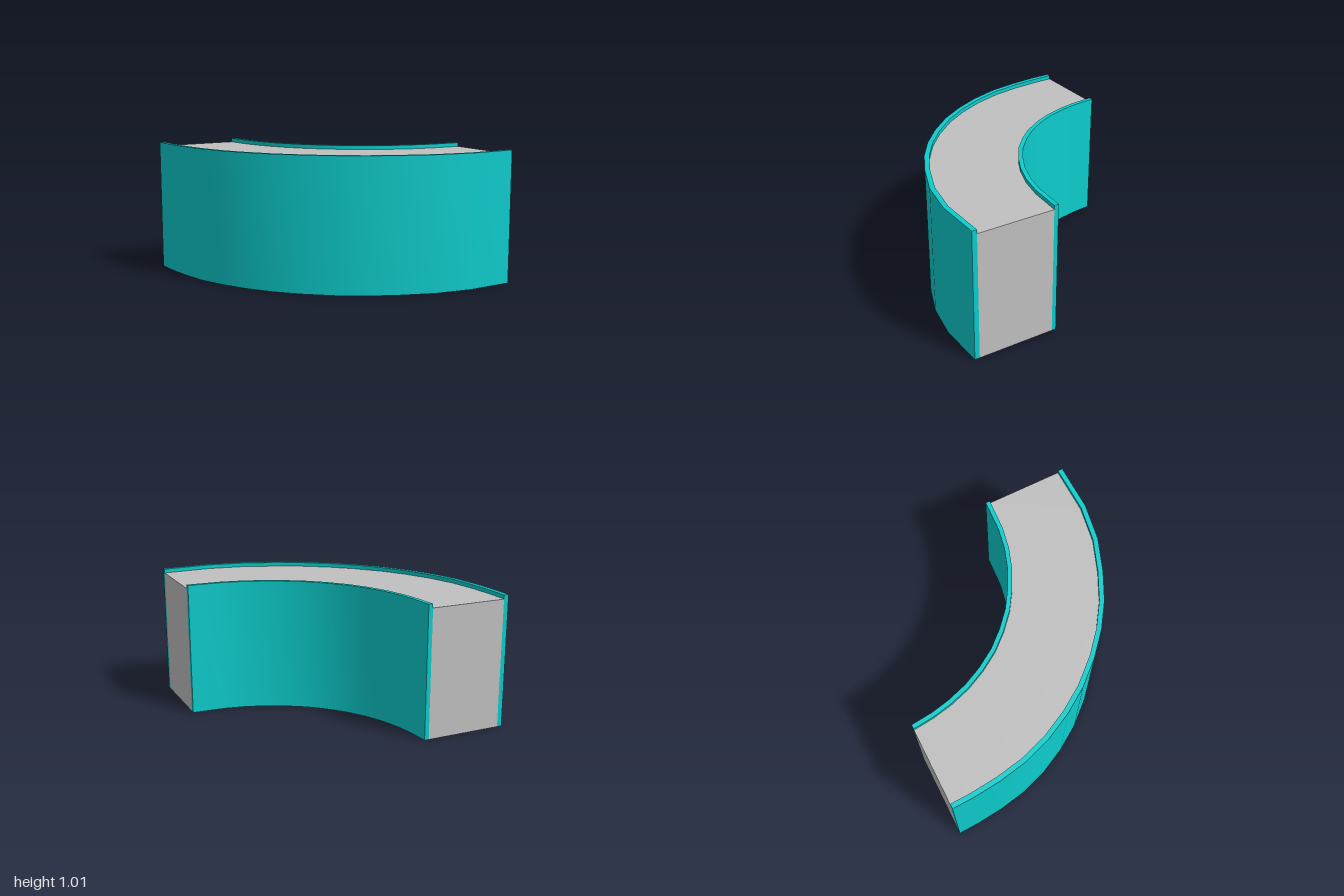
import * as THREE from 'three';
import { toCreasedNormals } from 'three/addons/utils/BufferGeometryUtils.js';

const HEIGHT = 1.01, CORE_HEIGHT = 0.98;

// Plan curves as [x, z], running from the back end to the left end
const outerCurve = [
  [-1, -0.955], [-0.995, -0.79], [-0.975, -0.58], [-0.935, -0.36], [-0.86, -0.14],
  [-0.76, 0.06], [-0.635, 0.25], [-0.475, 0.43], [-0.305, 0.58], [-0.12, 0.705],
  [0.095, 0.81], [0.35, 0.905], [0.635, 0.953], [1, 0.946],
];
const innerCurve = [
  [-0.337, -0.955], [-0.32, -0.79], [-0.29, -0.645], [-0.24, -0.49], [-0.17, -0.345],
  [-0.08, -0.205], [0.027, -0.085], [0.15, 0.025], [0.29, 0.115], [0.43, 0.185],
  [0.59, 0.24], [0.755, 0.272], [1, 0.286],
];

// Shift a curve sideways; the ends slide along the straight end planes
function offset(curve, d) {
  const last = curve.length - 1;
  return curve.map(([x, z], i) => {
    if (i === 0) return [x + d, z];
    if (i === last) return [x, z - d];
    const dx = curve[i + 1][0] - curve[i - 1][0];
    const dz = curve[i + 1][1] - curve[i - 1][1];
    const len = Math.hypot(dx, dz);
    return [x + (d * dz) / len, z - (d * dx) / len];
  });
}

// Solid standing on the ground between two plan curves
function slab(name, a, b, height, material) {
  const outline = [...a, ...[...b].reverse()].map(([x, z]) => new THREE.Vector2(x, -z));
  const geometry = new THREE.ExtrudeGeometry(new THREE.Shape(outline), {
    depth: height, bevelEnabled: false,
  });
  geometry.rotateX(-Math.PI / 2);
  const mesh = new THREE.Mesh(toCreasedNormals(geometry, 0.5), material);
  mesh.name = name;
  return mesh;
}

export function createModel() {
  const teal = new THREE.MeshStandardMaterial({ color: 0x0dcccc });
  teal.name = 'teal';
  const grey = new THREE.MeshStandardMaterial({ color: 0xc0c0c0 });
  grey.name = 'grey';

  const outerFace = offset(outerCurve, 0.038);
  const innerFace = offset(innerCurve, -0.034);

  const model = new THREE.Group();
  model.name = 'curvedWall';
  model.add(
    slab('outerPanel', outerCurve, outerFace, HEIGHT, teal),
    slab('innerPanel', innerFace, innerCurve, HEIGHT, teal),
    slab('core', outerFace, innerFace, CORE_HEIGHT, grey),
  );
  return model;
}
